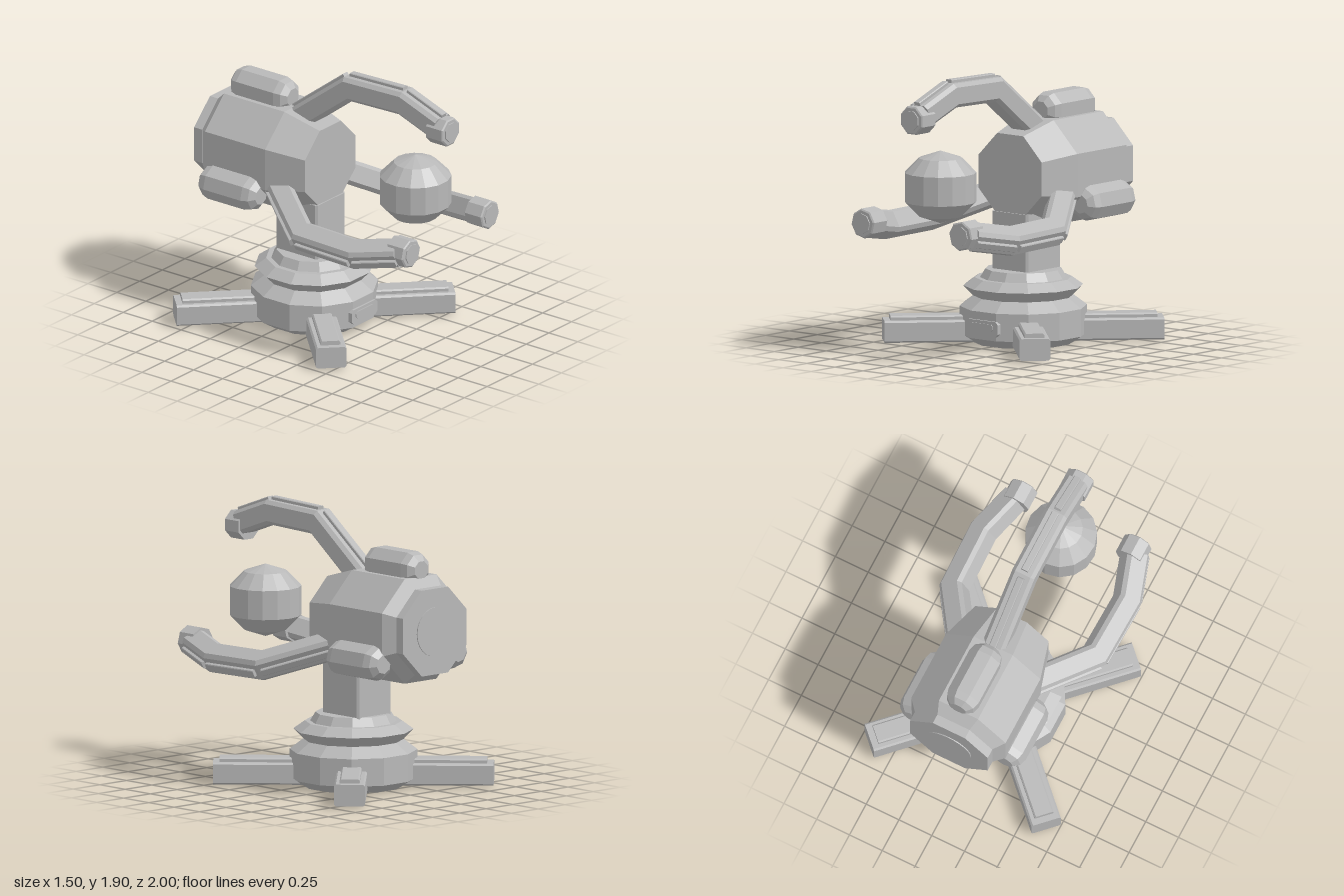
import * as THREE from 'three';

const BODY_Y = 1.158, BASE_Z = -0.187;

// Closed faceted solid of revolution; profile [apothem, height] from bottom to top
function turned(profile, sides) {
  const k = 1 / Math.cos(Math.PI / sides);
  const pts = profile.map(([r, y]) => new THREE.Vector2(r * k, y));
  return new THREE.LatheGeometry(pts, sides, Math.PI / sides);
}

// Rectangle with cut corners, counter-clockwise, as [x, y] pairs
function chamferedRect(hw, y0, y1, c) {
  return [[hw - c, y0], [hw, y0 + c], [hw, y1 - c], [hw - c, y1],
    [-hw + c, y1], [-hw, y1 - c], [-hw, y0 + c], [-hw + c, y0]];
}

// Sweep a section along a path of [z, y] points with mitred joints
function sweep(section, path) {
  const pos = [], idx = [], n = section.length;
  const dir = (i) => new THREE.Vector2(path[i + 1][0] - path[i][0], path[i + 1][1] - path[i][1]).normalize();
  path.forEach(([z, y], i) => {
    const a = dir(Math.max(i - 1, 0)), b = dir(Math.min(i, path.length - 2));
    const t = a.clone().add(b).normalize(), s = 1 / t.dot(a);
    for (const [u, v] of section) pos.push(u, y + t.x * v * s, z - t.y * v * s);
  });
  for (let r = 0; r < path.length - 1; r++) {
    for (let i = 0; i < n; i++) {
      const a = r * n + i, b = r * n + (i + 1) % n;
      idx.push(a, b, b + n, a, b + n, a + n);
    }
  }
  const e = (path.length - 1) * n;
  for (let i = 1; i < n - 1; i++) idx.push(0, i + 1, i, e, e + i, e + i + 1);
  const g = new THREE.BufferGeometry();
  g.setAttribute('position', new THREE.Float32BufferAttribute(pos, 3));
  g.setIndex(idx);
  g.computeVertexNormals();
  return g;
}

export function createModel() {
  const root = new THREE.Group();
  root.name = 'clawTurret';
  const grey = new THREE.MeshStandardMaterial({ color: 0xb8b8b8, flatShading: true });
  grey.name = 'grey';

  const add = (parent, name, geometry, x = 0, y = 0, z = 0) => {
    const m = new THREE.Mesh(geometry, grey);
    m.name = name;
    m.position.set(x, y, z);
    parent.add(m);
    return m;
  };

  // Stepped base
  const base = new THREE.Group();
  base.name = 'base';
  base.position.z = BASE_Z;
  root.add(base);
  add(base, 'basePedestal', turned([
    [0, 0], [0.33, 0], [0.42, 0.06], [0.42, 0.25], [0.33, 0.32], [0.395, 0.39],
    [0.32, 0.445], [0.285, 0.445], [0.25, 0.505], [0, 0.505]], 12));

  // Front panel with a raised slot
  add(base, 'frontPanel', sweep(chamferedRect(0.14, 0.09, 0.195, 0.02), [[0.4, 0], [0.435, 0]]));
  add(base, 'panelSlot', sweep(chamferedRect(0.1, 0.125, 0.175, 0.015), [[0.43, 0], [0.441, 0]]));

  // Four diagonal feet with top plates
  for (let i = 0; i < 4; i++) {
    const foot = new THREE.Group();
    foot.name = 'foot';
    foot.rotation.y = Math.PI / 4 + i * Math.PI / 2;
    base.add(foot);
    add(foot, 'footBeam', sweep(chamferedRect(0.105, 0.015, 0.165, 0.012), [[0.3, 0], [0.954, 0]]));
    add(foot, 'footPlate', sweep(chamferedRect(0.068, 0.15, 0.195, 0.01), [[0.35, 0], [0.91, 0]]));
  }

  // Neck
  const neck = add(root, 'neck', sweep(chamferedRect(0.16, -0.18, 0.18, 0.015), [[0, 0], [0.42, 0]]), 0, 0.48, -0.22);
  neck.rotation.x = -Math.PI / 2;

  // Eight-sided head lying along z
  const head = new THREE.Group();
  head.name = 'head';
  head.position.y = BODY_Y;
  root.add(head);
  add(head, 'headShell', turned([
    [0, -0.94], [0.28, -0.94], [0.36, -0.85], [0.36, -0.33], [0.28, -0.05], [0, -0.05]], 8).rotateX(Math.PI / 2));
  add(head, 'backPlate', turned([[0, -0.993], [0.296, -0.993], [0.296, -0.925], [0, -0.925]], 8).rotateX(Math.PI / 2));
  add(head, 'backDisc', new THREE.CylinderGeometry(0.17, 0.17, 0.01, 24).rotateX(Math.PI / 2), 0, 0, -0.995);

  // Three pods and claw arms around the head
  const armPath = [[-0.3, 0.287], [0.14, 0.622], [0.6, 0.635], [0.9, 0.525]];
  const pod = turned([
    [0, -0.245], [0.06, -0.245], [0.1, -0.21], [0.115, -0.16],
    [0.115, 0.16], [0.1, 0.21], [0.06, 0.245], [0, 0.245]], 8).rotateX(Math.PI / 2);
  const arm = sweep(chamferedRect(0.083, -0.085, 0.08, 0.025), armPath);
  const tip = turned([[0, 0.85], [0.095, 0.85], [0.095, 0.985], [0.085, 0.992], [0, 0.992]], 8).rotateX(Math.PI / 2);
  const cap = turned([[0, 0.98], [0.064, 0.98], [0.064, 1], [0, 1]], 8).rotateX(Math.PI / 2);
  for (let i = 0; i < 3; i++) {
    const claw = new THREE.Group();
    claw.name = 'claw';
    claw.rotation.z = i * Math.PI * 2 / 3;
    head.add(claw);
    add(claw, 'sidePod', pod, 0, 0.407, -0.615);
    add(claw, 'clawArm', arm);
    for (let s = 0; s < 3; s++) {
      add(claw, 'armRail', sweep(chamferedRect(0.025, 0.06, 0.103, 0.005), armPath.slice(s, s + 2)));
    }
    add(claw, 'clawTip', tip, 0, 0.502, 0);
    add(claw, 'tipCap', cap, 0, 0.502, 0);
  }

  // Floating orb between the claws
  add(root, 'orb', turned([
    [0, -0.25], [0.145, -0.2], [0.24, -0.1], [0.24, 0.1], [0.145, 0.2], [0, 0.25]], 15), 0, 1.168, 0.685);

  return root;
}
